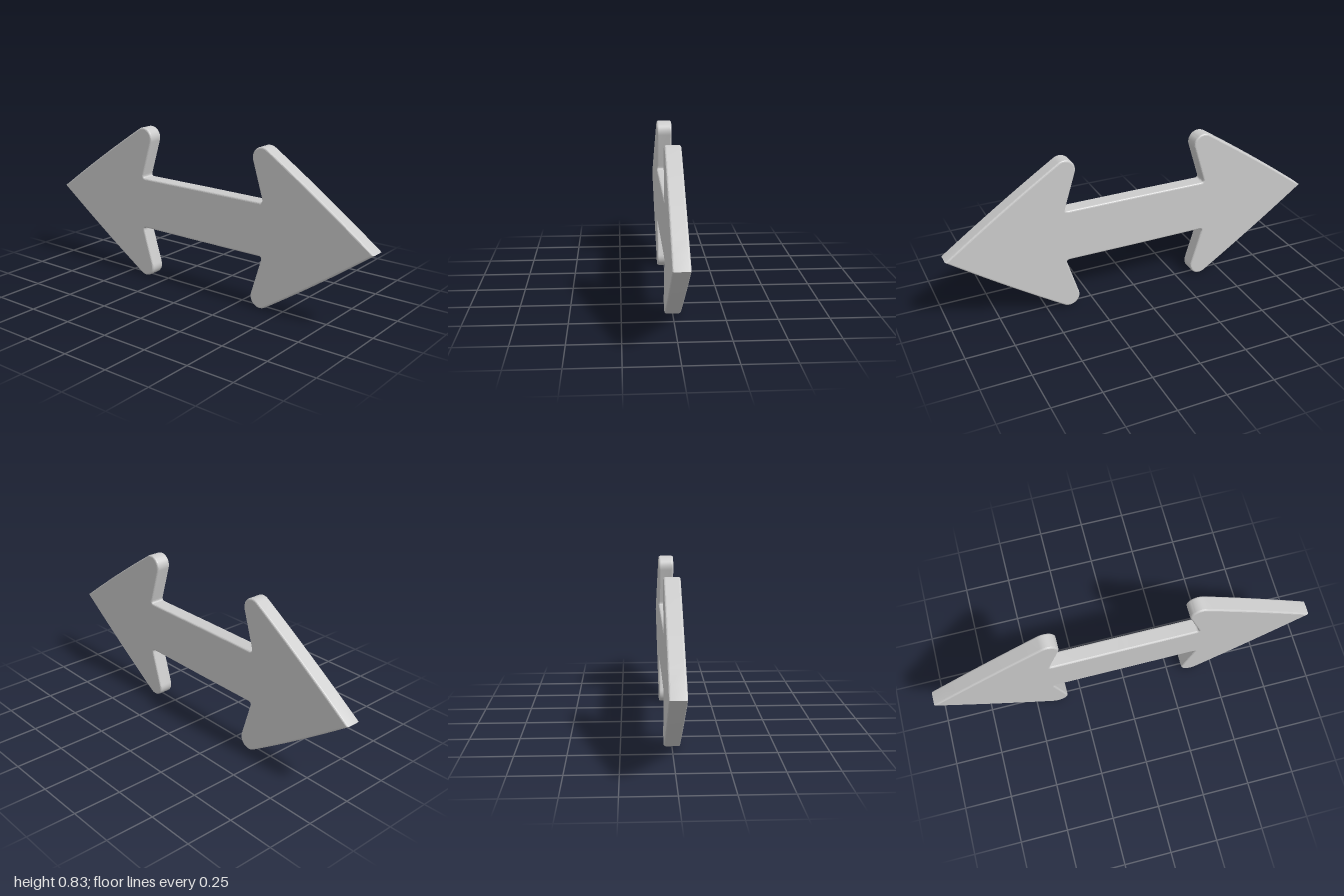
import * as THREE from 'three';
import { toCreasedNormals } from 'three/addons/utils/BufferGeometryUtils.js';

const HALF_HEIGHT = 0.414;
const DEPTH = 0.08;
const BEVEL = 0.009;

// Upper right quarter of the outline, from the shaft middle to the tip.
function quarterOutline() {
  const pts = [new THREE.Vector2(0, 0.14)];
  const add = (curve, n) => pts.push(...curve.getPoints(n));
  const v = (x, y) => new THREE.Vector2(x, y);

  // small fillet between shaft and barb
  add(new THREE.QuadraticBezierCurve(v(0.372, 0.139), v(0.391, 0.139), v(0.385, 0.158)), 6);

  // rounded barb end
  const deg = Math.PI / 180;
  add(new THREE.EllipseCurve(0.382, 0.358, 0.056, 0.056, 196.7 * deg, 55.4 * deg, true), 14);

  // slightly bowed edge running to the tip
  const start = pts.pop();
  add(new THREE.QuadraticBezierCurve(start, v(0.715, 0.21), v(1, 0)), 8);
  return pts;
}

// Mirror the quarter into the closed outline, dropping shared points.
function fullOutline() {
  const q = quarterOutline();
  const mirror = (pts, sx, sy) => pts.map((p) => new THREE.Vector2(p.x * sx, p.y * sy));
  const right = [...q, ...mirror(q, 1, -1).reverse().slice(1)];
  const left = mirror(right, -1, 1).reverse().slice(1, -1);
  return [...right, ...left];
}

export function createModel() {
  const model = new THREE.Group();
  model.name = 'doubleArrow';

  // flat plate with softly bevelled rims
  const plate = new THREE.ExtrudeGeometry(new THREE.Shape(fullOutline()), {
    depth: DEPTH - 2 * BEVEL,
    bevelEnabled: true,
    bevelThickness: BEVEL,
    bevelSize: BEVEL,
    bevelOffset: -BEVEL,
    bevelSegments: 3,
  });
  plate.translate(0, HALF_HEIGHT, -DEPTH / 2 + BEVEL);

  const arrow = new THREE.Mesh(
    toCreasedNormals(plate, 0.24),
    new THREE.MeshStandardMaterial({ color: 0xcccccc })
  );
  arrow.name = 'arrowPlate';
  model.add(arrow);
  return model;
}
